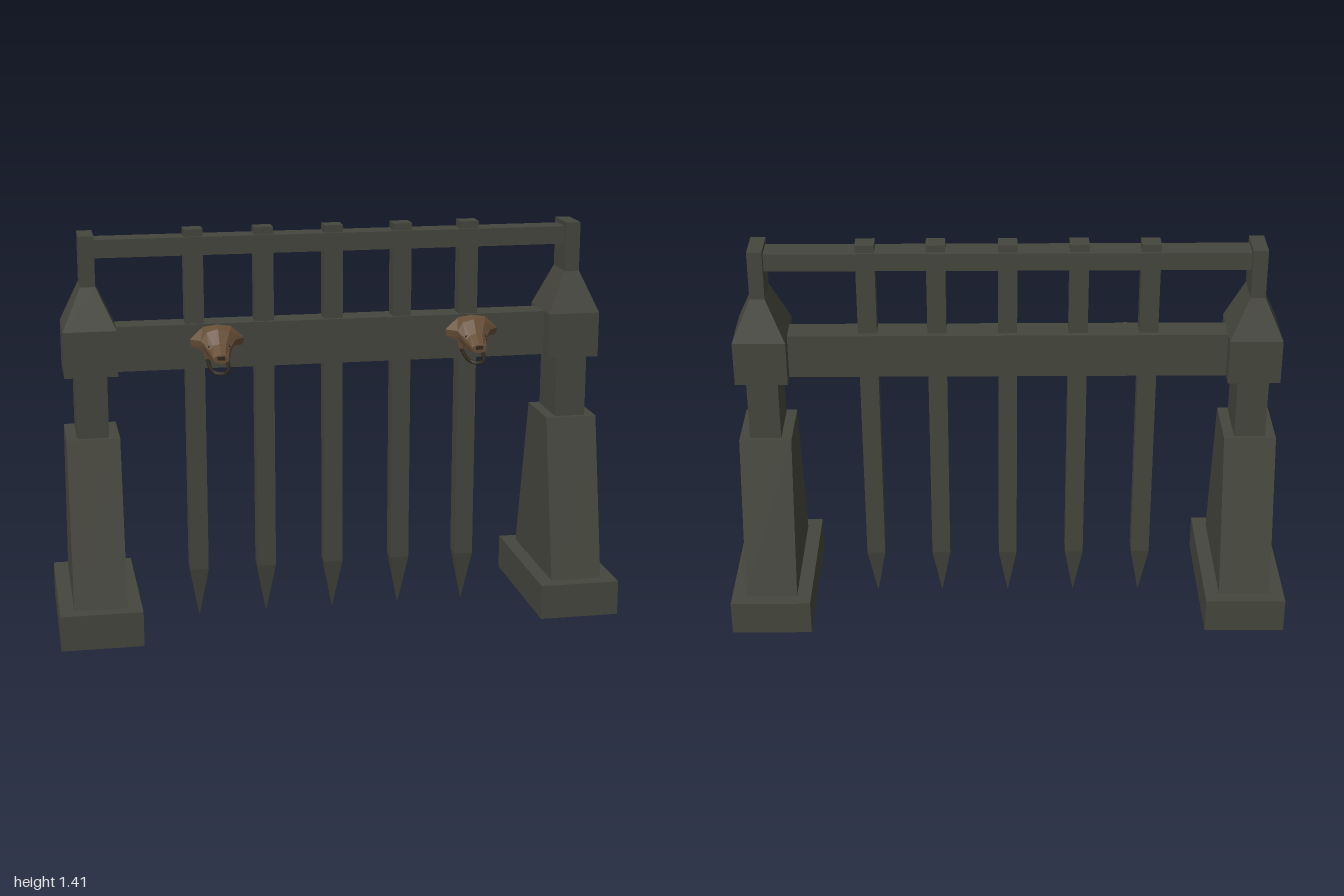
import * as THREE from 'three';

const iron = new THREE.MeshStandardMaterial({ name: 'darkIron', color: 0x45463d, side: THREE.DoubleSide });
const bronze = new THREE.MeshStandardMaterial({ name: 'agedBronze', color: 0x664e36 });
const shade = new THREE.MeshStandardMaterial({ name: 'darkBronze', color: 0x30281f });

// Flat-shaded skin through a row of rings, with a lid on the last ring
function loft(rings) {
  const pos = [];
  const tri = (...pts) => pts.forEach((p) => pos.push(...p));
  const n = rings[0].length;
  for (let k = 0; k + 1 < rings.length; k++) {
    for (let i = 0; i < n; i++) {
      const j = (i + 1) % n, a = rings[k], b = rings[k + 1];
      tri(a[i], a[j], b[j]);
      tri(a[i], b[j], b[i]);
    }
  }
  const lid = rings[rings.length - 1];
  for (let i = 1; i + 1 < n; i++) tri(lid[0], lid[i], lid[i + 1]);
  const geo = new THREE.BufferGeometry();
  geo.setAttribute('position', new THREE.Float32BufferAttribute(pos, 3));
  geo.computeVertexNormals();
  return geo;
}

// Rectangular ring: height, half width, half depth
const rect = ([y, w, d]) => [[-w, y, d], [w, y, d], [w, y, -d], [-w, y, -d]];

function add(parent, name, geo, mat, x = 0, y = 0, z = 0) {
  const mesh = new THREE.Mesh(geo, mat);
  mesh.name = name;
  mesh.position.set(x, y, z);
  parent.add(mesh);
  return mesh;
}

// Post with a hollow foot, tapered leg, neck, shoulder block and finial
function makePillar(name, x) {
  const g = new THREE.Group();
  g.name = name;
  g.position.x = x;
  add(g, 'foot', loft([[0.012, 0.143, 0.288], [0.137, 0.143, 0.288]].map(rect)), iron);
  add(g, 'shaft', loft([
    [0.137, 0.092, 0.237], [0.715, 0.092, 0.114],
    [0.715, 0.055, 0.097], [0.934, 0.055, 0.097],
    [0.934, 0.092, 0.112], [1.094, 0.092, 0.112],
    [1.24, 0.026, 0.067], [1.414, 0.026, 0.067],
  ].map(rect)), iron);
  return g;
}

// Half outlines of the head from crown to chin, back to snout
const headSections = [
  [0.045, [[0, 1.09], [0.05, 1.083], [0.097, 1.04], [0.09, 1.015], [0.052, 1.02], [0.045, 0.97], [0, 0.96]]],
  [0.08, [[0, 1.08], [0.04, 1.07], [0.06, 1.04], [0.055, 1.02], [0.045, 1.0], [0.036, 0.975], [0, 0.97]]],
  [0.115, [[0, 1.035], [0.022, 1.03], [0.035, 1.015], [0.035, 1.0], [0.03, 0.985], [0.02, 0.975], [0, 0.973]]],
  [0.163, [[0, 1.006], [0.016, 1.003], [0.026, 0.997], [0.027, 0.988], [0.023, 0.982], [0.013, 0.978], [0, 0.976]]],
];

function makeHead(name, x) {
  const g = new THREE.Group();
  g.name = name;
  g.position.x = x;
  const rings = headSections.map(([z, half]) => [
    ...half.map(([px, py]) => [-px, py, z]),
    ...half.slice(1, -1).reverse().map(([px, py]) => [px, py, z]),
  ]);
  add(g, 'skull', loft(rings), bronze);
  // Open lower jaw, a U-shaped bar reaching forward
  const jawPath = new THREE.CatmullRomCurve3([
    [-0.034, 0.965, 0.045], [-0.032, 0.95, 0.11], [-0.02, 0.941, 0.15], [0, 0.94, 0.16],
    [0.02, 0.941, 0.15], [0.032, 0.95, 0.11], [0.034, 0.965, 0.045],
  ].map((p) => new THREE.Vector3(...p)));
  add(g, 'lowerJaw', new THREE.TubeGeometry(jawPath, 14, 0.007, 5), shade);
  add(g, 'nose', new THREE.BoxGeometry(0.026, 0.012, 0.004), shade, 0, 0.995, 0.164);
  for (const s of [-1, 1]) {
    const eye = add(g, 'eye', new THREE.SphereGeometry(0.007, 6, 4), shade, s * 0.032, 1.024, 0.108);
    eye.scale.z = 0.6;
  }
  return g;
}

export function createModel() {
  const model = new THREE.Group();
  model.name = 'portcullis';

  model.add(makePillar('leftPillar', 0.857), makePillar('rightPillar', -0.857));

  // Cross members
  add(model, 'crossBeam', new THREE.BoxGeometry(1.6, 0.158, 0.1), iron, 0, 1.014, -0.004);
  add(model, 'topRail', new THREE.BoxGeometry(1.67, 0.063, 0.088), iron, 0, 1.366, 0);

  // Pointed bars
  const barGeo = loft([
    [0.008, 0.001, 0.001], [0.19, 0.033, 0.033], [1.423, 0.033, 0.033],
  ].map(rect));
  for (const x of [-0.49, -0.245, 0, 0.246, 0.487]) add(model, 'bar', barGeo, iron, x);

  // Beast heads on the front of the beam
  model.add(makeHead('leftHead', 0.497), makeHead('rightHead', -0.415));

  return model;
}
